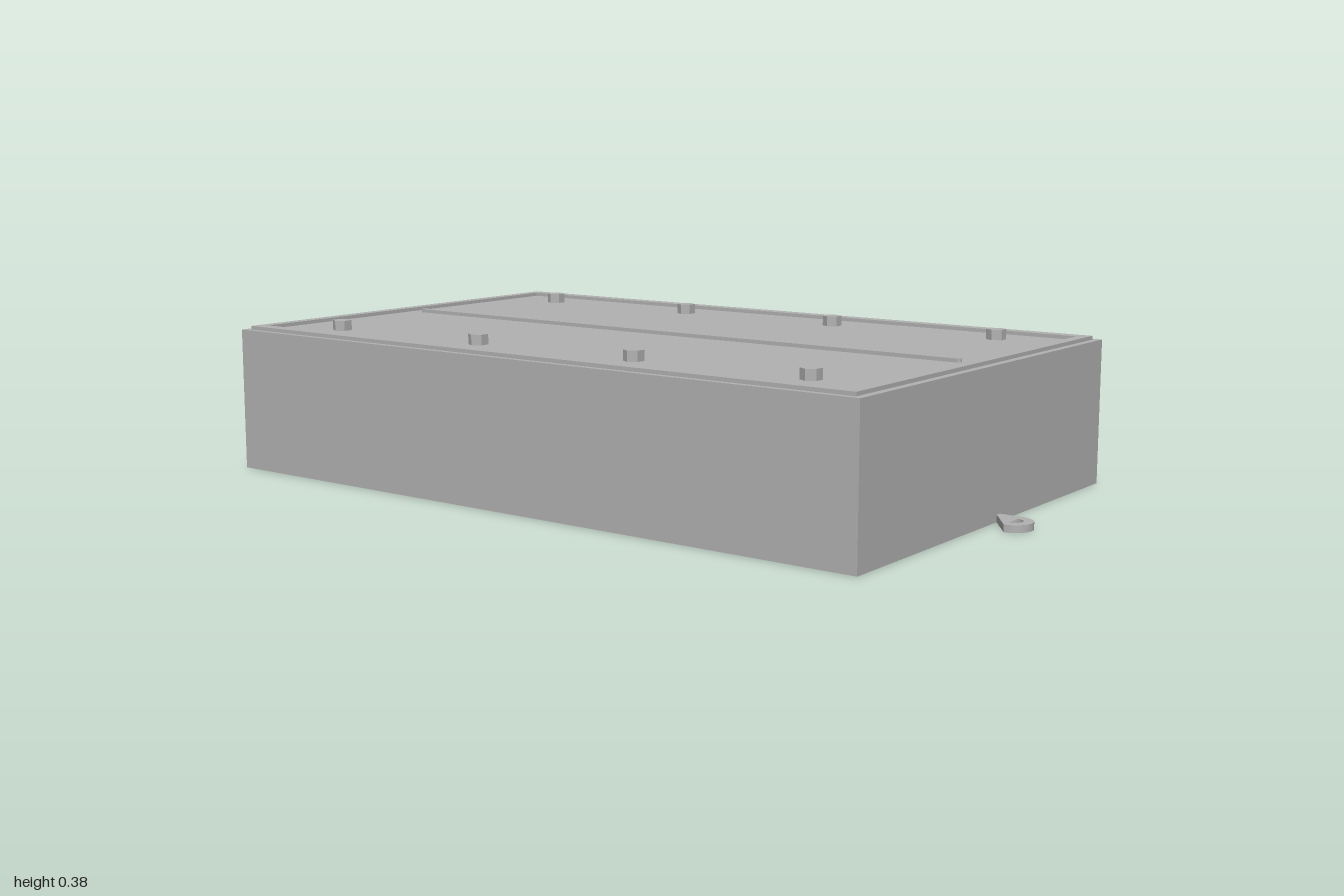
import * as THREE from 'three';

export function createModel() {
  const model = new THREE.Group();
  model.name = 'enclosure';
  const grey = new THREE.MeshStandardMaterial({ color: 0xb2b2b2 });
  grey.name = 'grey';

  const BODY_H = 0.352, RIM_H = 0.009;

  const add = (name, geometry, x = 0, y = 0, z = 0) => {
    const mesh = new THREE.Mesh(geometry, grey);
    mesh.name = name;
    mesh.position.set(x, y, z);
    model.add(mesh);
    return mesh;
  };
  // Extrude a plan outline upwards; shape y becomes -z
  const slab = (shape, height) =>
    new THREE.ExtrudeGeometry(shape, { depth: height, bevelEnabled: false, curveSegments: 20 }).rotateX(-Math.PI / 2);
  const rectangle = (Type, hx, hz) => new Type([
    new THREE.Vector2(-hx, -hz), new THREE.Vector2(hx, -hz),
    new THREE.Vector2(hx, hz), new THREE.Vector2(-hx, hz),
  ]);

  // Main box
  add('body', new THREE.BoxGeometry(1.118, BODY_H, 1.8), 0, BODY_H / 2, 0);

  // Raised border around the recessed lid panel
  const rim = rectangle(THREE.Shape, 0.544, 0.882);
  rim.holes.push(rectangle(THREE.Path, 0.511, 0.855));
  add('lidRim', slab(rim, RIM_H), 0, BODY_H, 0);

  // Round-ended rib along the middle of the lid
  const r = 0.008, end = 0.812;
  const rib = new THREE.Shape();
  rib.absarc(0, end, r, 0, Math.PI, false);
  rib.absarc(0, -end, r, Math.PI, Math.PI * 2, false);
  add('centreRib', slab(rib, RIM_H), 0, BODY_H, 0);

  // Hexagonal bolt heads, four along each side
  const boltTop = 0.377, boltH = boltTop - BODY_H;
  const bolt = new THREE.CylinderGeometry(0.024, 0.024, boltH, 6).rotateY(Math.PI / 6).toNonIndexed();
  bolt.computeVertexNormals();
  for (const x of [-0.411, 0.411]) {
    for (const z of [-0.694, -0.232, 0.232, 0.694]) add('bolt', bolt, x, BODY_H + boltH / 2, z);
  }

  // Mounting lugs with a screw hole, front and back
  const lug = new THREE.Shape();
  lug.moveTo(-0.045, -0.89);
  lug.absarc(0, -0.955, 0.045, Math.PI, Math.PI * 2, false);
  lug.lineTo(0.045, -0.89);
  lug.closePath();
  const hole = new THREE.Path();
  hole.absarc(0, -0.955, 0.022, 0, Math.PI * 2, true);
  lug.holes.push(hole);
  const lugGeometry = slab(lug, 0.017);
  add('frontLug', lugGeometry);
  add('backLug', lugGeometry).rotation.y = Math.PI;

  return model;
}
